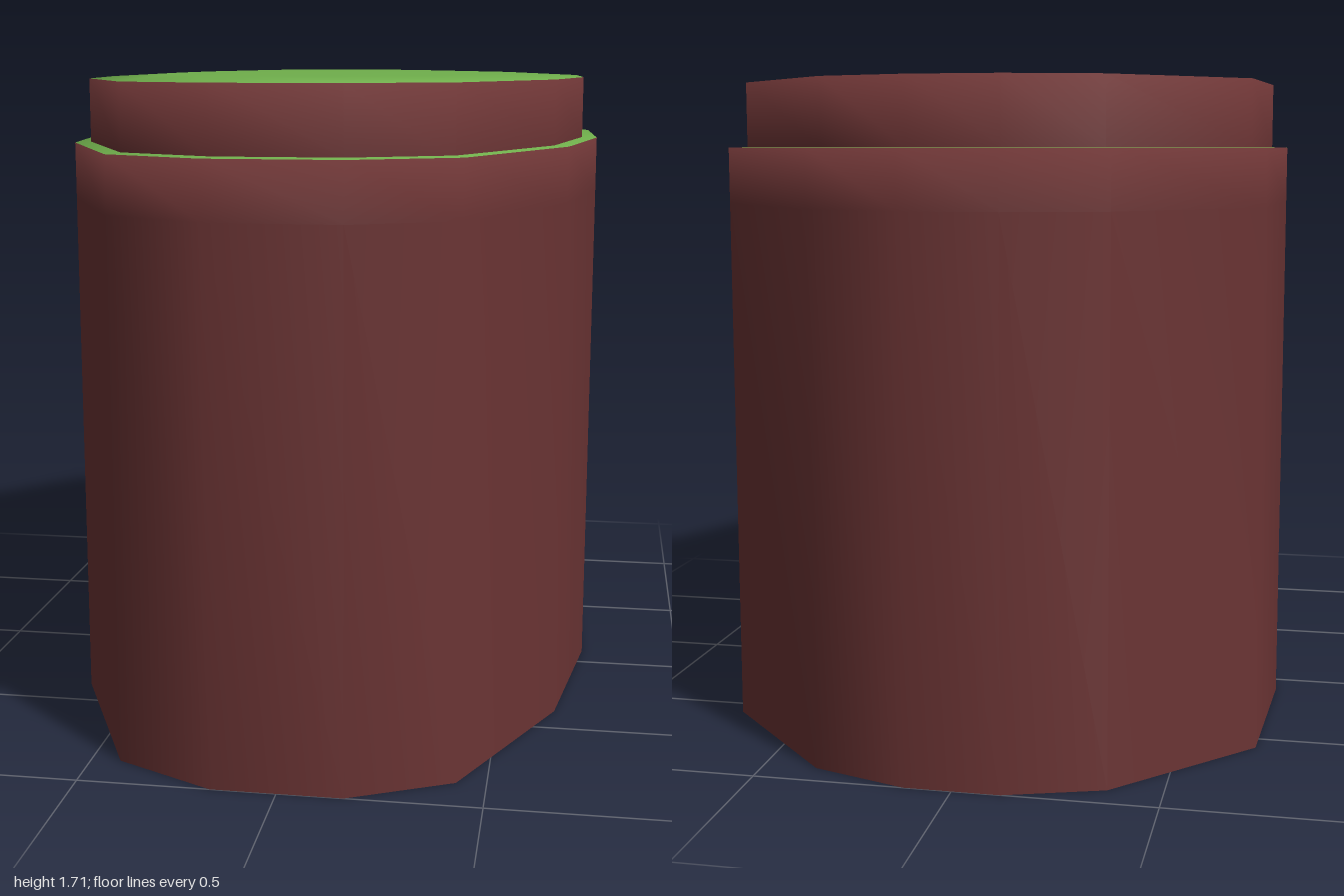
import * as THREE from 'three';

// Right half of the plan outline, from back to front, as [x, z]
const half = [[0.12, -1], [0.365, -0.92], [0.695, -0.565], [0.722, -0.09], [0.652, 0.385], [0.425, 0.873], [0.165, 1]];
const outline = [...half, ...half.map(([x, z]) => [-x, z]).reverse()];
const n = outline.length;

// Lofts scaled copies of the outline; rings are [scale, y], and the second
// material starts at ring capStart. Shared vertices keep the rims soft.
function loft(name, rings, capStart, materials) {
  const positions = [], index = [];
  for (const [s, y] of rings) for (const [x, z] of outline) positions.push(x * s, y, z * s);
  for (let r = 0; r < rings.length - 1; r++) {
    for (let i = 0; i < n; i++) {
      const j = (i + 1) % n;
      const a = r * n + i, b = r * n + j;
      index.push(a, a + n, b + n, a, b + n, b);
    }
  }
  const geometry = new THREE.BufferGeometry();
  geometry.setAttribute('position', new THREE.Float32BufferAttribute(positions, 3));
  geometry.setIndex(index);
  geometry.computeVertexNormals();
  const split = capStart * n * 6;
  geometry.addGroup(0, split, 0);
  geometry.addGroup(split, index.length - split, 1);
  const mesh = new THREE.Mesh(geometry, materials);
  mesh.name = name;
  return mesh;
}

export function createModel() {
  // Both parts are open shells, hollow from below
  const earth = new THREE.MeshStandardMaterial({ color: 0x6b3434, side: THREE.DoubleSide });
  earth.name = 'earth brown';
  const grass = new THREE.MeshStandardMaterial({ color: 0x6fae4b, side: THREE.DoubleSide });
  grass.name = 'grass green';
  const materials = [earth, grass];

  const group = new THREE.Group();
  group.name = 'grassyPillar';
  group.add(
    // Tall wall, open at the bottom, capped with grass that shows as a ledge
    loft('lowerBlock', [[1, 0], [1, 1.38], [1, 1.525], [0.65, 1.535], [0, 1.54]], 2, materials),
    // Inset upper step with a slightly domed grass top
    loft('upperStep', [[0.943, 1.525], [0.943, 1.693], [0.65, 1.704], [0.3, 1.711], [0, 1.712]], 1, materials),
  );
  return group;
}
